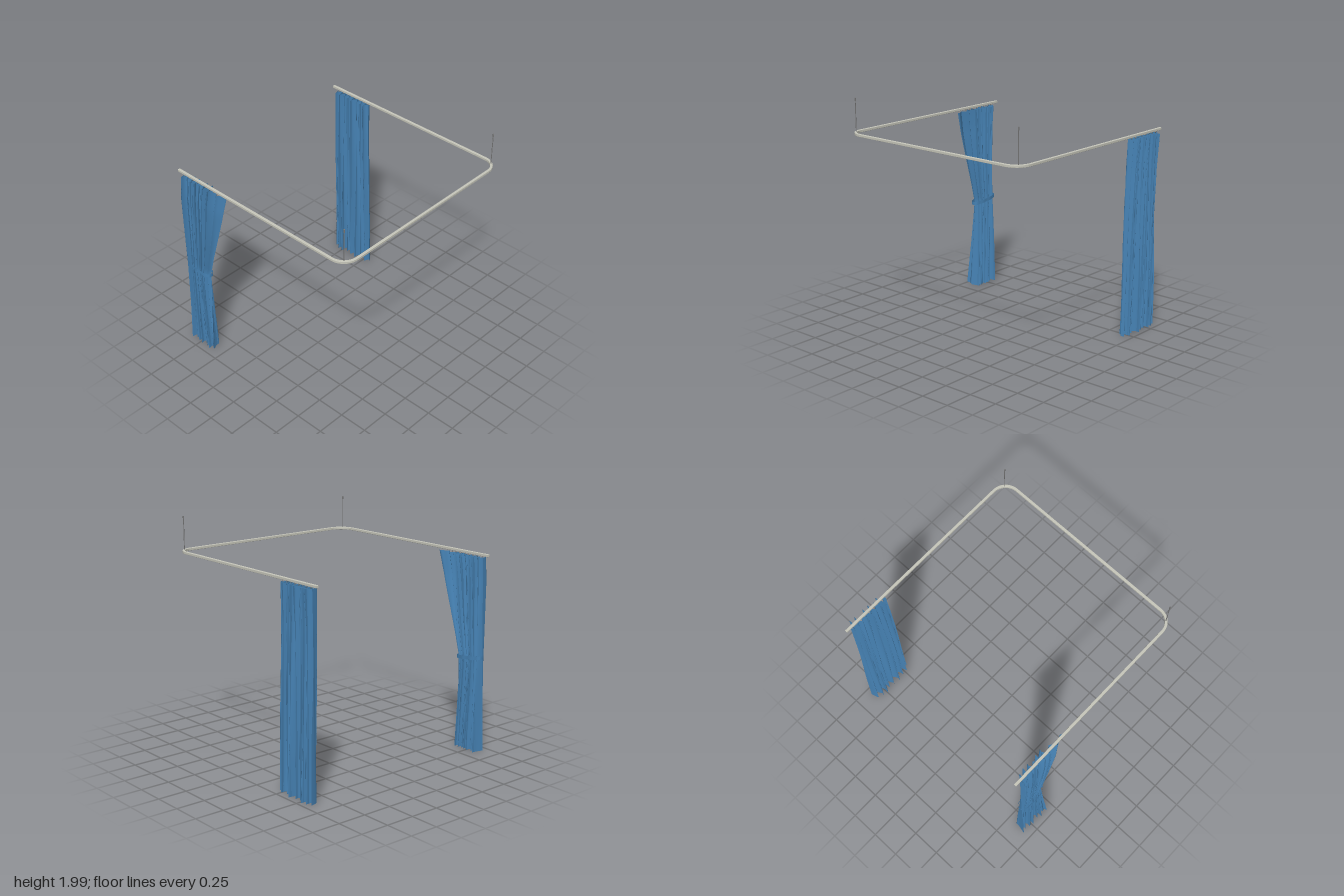
import * as THREE from 'three';

const fabric = new THREE.MeshStandardMaterial({ color: 0x4682b4, side: THREE.DoubleSide });
const metal = new THREE.MeshStandardMaterial({ color: 0xc6c6ba });
const steel = new THREE.MeshStandardMaterial({ color: 0x777777 });

const FRONT = 0.88, BACK = -0.92, LEFT = -0.91, SIDE = 0.9, RADIUS = 0.13;

function add(parent, name, geometry, material, x = 0, y = 0, z = 0) {
  const mesh = new THREE.Mesh(geometry, material);
  mesh.name = name;
  mesh.position.set(x, y, z);
  parent.add(mesh);
  return mesh;
}

// Piecewise linear lookup in [[key, value], ...] with rising keys
function lookup(table, k) {
  for (let i = 1; i < table.length; i++) {
    const [a, va] = table[i - 1], [b, vb] = table[i];
    if (k <= b) return THREE.MathUtils.lerp(va, vb, THREE.MathUtils.clamp((k - a) / (b - a), 0, 1));
  }
  return table[table.length - 1][1];
}

// U-shaped rail with rounded corners, drawn in plan and extruded upwards
function railGeometry() {
  const half = 0.008;
  const side = (offset) => {
    const r = RADIUS + offset, cx = SIDE - RADIUS;
    const pts = [new THREE.Vector2(LEFT + 0.003, FRONT + offset)];
    for (let i = 0; i <= 12; i++) {
      const a = Math.PI / 2 * (1 - i / 12);
      pts.push(new THREE.Vector2(cx + r * Math.cos(a), FRONT - RADIUS + r * Math.sin(a)));
    }
    for (let i = 0; i <= 12; i++) {
      const a = -Math.PI / 2 * i / 12;
      pts.push(new THREE.Vector2(cx + r * Math.cos(a), BACK + RADIUS + r * Math.sin(a)));
    }
    pts.push(new THREE.Vector2(LEFT + 0.003, BACK - offset));
    return pts;
  };
  const shape = new THREE.Shape([...side(half), ...side(-half).reverse()]);
  const geometry = new THREE.ExtrudeGeometry(shape, {
    depth: 0.016, bevelEnabled: true, bevelSize: 0.003, bevelThickness: 0.003, bevelSegments: 2,
  });
  return geometry.rotateX(Math.PI / 2);
}

// Pleated sheet: s runs across the cloth, y runs up it
function curtainGeometry(c) {
  const cols = c.pleats * 16, rows = 48;
  const geometry = new THREE.PlaneGeometry(1, 1, cols, rows);
  const p = geometry.attributes.position;
  for (let i = 0; i < p.count; i++) {
    const s = p.getX(i) + 0.5, t = p.getY(i) + 0.5;
    const y = THREE.MathUtils.lerp(0.01, 1.685, t);
    const right = lookup(c.rightEdge, y), depth = lookup(c.depth, y);
    const edge = THREE.MathUtils.smoothstep(s, 0.85, 1);
    const flare = c.flat * THREE.MathUtils.smoothstep(y, 0.8, 1.7);
    // Uneven pleats that drift slightly on the way down
    const phase = 2 * Math.PI * c.pleats * s + 0.7 * Math.sin(9 * s + c.seed) + 0.5 * Math.sin(2.2 * y + 7 * s + c.seed);
    const swell = 0.78 + 0.22 * Math.sin(17 * s + c.seed + 0.8 * y);
    const wave = Math.sin(phase) + 0.18 * Math.sin(2.3 * phase + 3 * y);
    const u = s + flare * (Math.pow(s, 7) - s);
    const loop = 0.16 * (right - c.left) / c.pleats * Math.sin(2 * phase) * (1 - edge) * Math.min(1, s * 12);
    const hang = 1 - Math.min(1, y / 0.8);
    p.setXYZ(i,
      THREE.MathUtils.lerp(c.left, right, u) + loop,
      y + c.kick * 0.5 * edge * hang,
      lookup(c.centre, y) + depth * swell * wave * (1 - 0.7 * edge) + c.kick * edge * hang);
  }
  geometry.computeVertexNormals();
  return geometry;
}

// Small rings under the rail, one per pleat
function addHooks(parent, c, z, toX) {
  for (let i = 0; i < c.pleats; i++) {
    const x = THREE.MathUtils.lerp(c.left + 0.02, toX, i / (c.pleats - 1));
    add(parent, 'hook', new THREE.TorusGeometry(0.008, 0.0016, 6, 12), steel, x, 1.692, z);
  }
}

// Flat band looped round the gathered curtain, sloping down to its open edge
function tiebackGeometry() {
  const around = 48;
  const geometry = new THREE.CylinderGeometry(1, 1, 0.03, around, 2, true);
  const p = geometry.attributes.position;
  for (let i = 0; i < p.count; i++) {
    const x = p.getX(i), z = p.getZ(i), y = p.getY(i);
    const bulge = 1 + 0.04 * Math.sin(9 * Math.atan2(z, x));
    p.setXYZ(i, x * 0.133, y - x * 0.016, Math.sign(z) * Math.pow(Math.abs(z), 0.6) * 0.047 * bulge);
  }
  geometry.computeVertexNormals();
  return geometry;
}

export function createModel() {
  const model = new THREE.Group();
  model.name = 'curtainRail';

  add(model, 'rail', railGeometry(), metal, 0, 1.717, 0);

  // Ceiling rods at the two bends
  const bend = RADIUS * Math.SQRT1_2;
  for (const z of [FRONT - RADIUS + bend, BACK + RADIUS - bend]) {
    const rod = new THREE.Group();
    rod.name = 'ceilingRod';
    rod.position.set(SIDE - RADIUS + bend - 0.005, 0, z);
    add(rod, 'rodShaft', new THREE.CylinderGeometry(0.0035, 0.0035, 0.29, 10), steel, 0, 1.855, 0);
    add(rod, 'rodCap', new THREE.CylinderGeometry(0.006, 0.006, 0.025, 10), steel, 0, 1.9875, 0);
    model.add(rod);
  }

  // Front curtain, gathered by a tieback
  const tied = {
    left: -0.855, pleats: 8, seed: 1.3, flat: 0.22, kick: 0.06,
    rightEdge: [[0, -0.57], [0.4, -0.59], [0.82, -0.605], [1, -0.56], [1.24, -0.49], [1.45, -0.43], [1.69, -0.37]],
    depth: [[0, 0.052], [0.5, 0.045], [0.82, 0.036], [1.1, 0.043], [1.5, 0.052], [1.69, 0.05]],
    centre: [[0, 0.89], [0.82, 0.888], [1.5, 0.885], [1.69, 0.872]],
  };
  const front = new THREE.Group();
  front.name = 'frontCurtain';
  add(front, 'frontCloth', curtainGeometry(tied), fabric);
  add(front, 'tieback', tiebackGeometry(), fabric, -0.73, 0.822, 0.888);
  addHooks(front, tied, FRONT, -0.5);
  model.add(front);

  // Back curtain, hanging straight
  const loose = {
    left: -0.86, pleats: 8, seed: 4.1, flat: 0, kick: 0,
    rightEdge: [[0, -0.445], [0.8, -0.46], [1.69, -0.49]],
    depth: [[0, 0.06], [1.4, 0.05], [1.69, 0.056]],
    centre: [[0, -0.905], [1.4, -0.91], [1.69, -0.917]],
  };
  const back = new THREE.Group();
  back.name = 'backCurtain';
  add(back, 'backCloth', curtainGeometry(loose), fabric);
  addHooks(back, loose, BACK, -0.51);
  model.add(back);

  return model;
}
